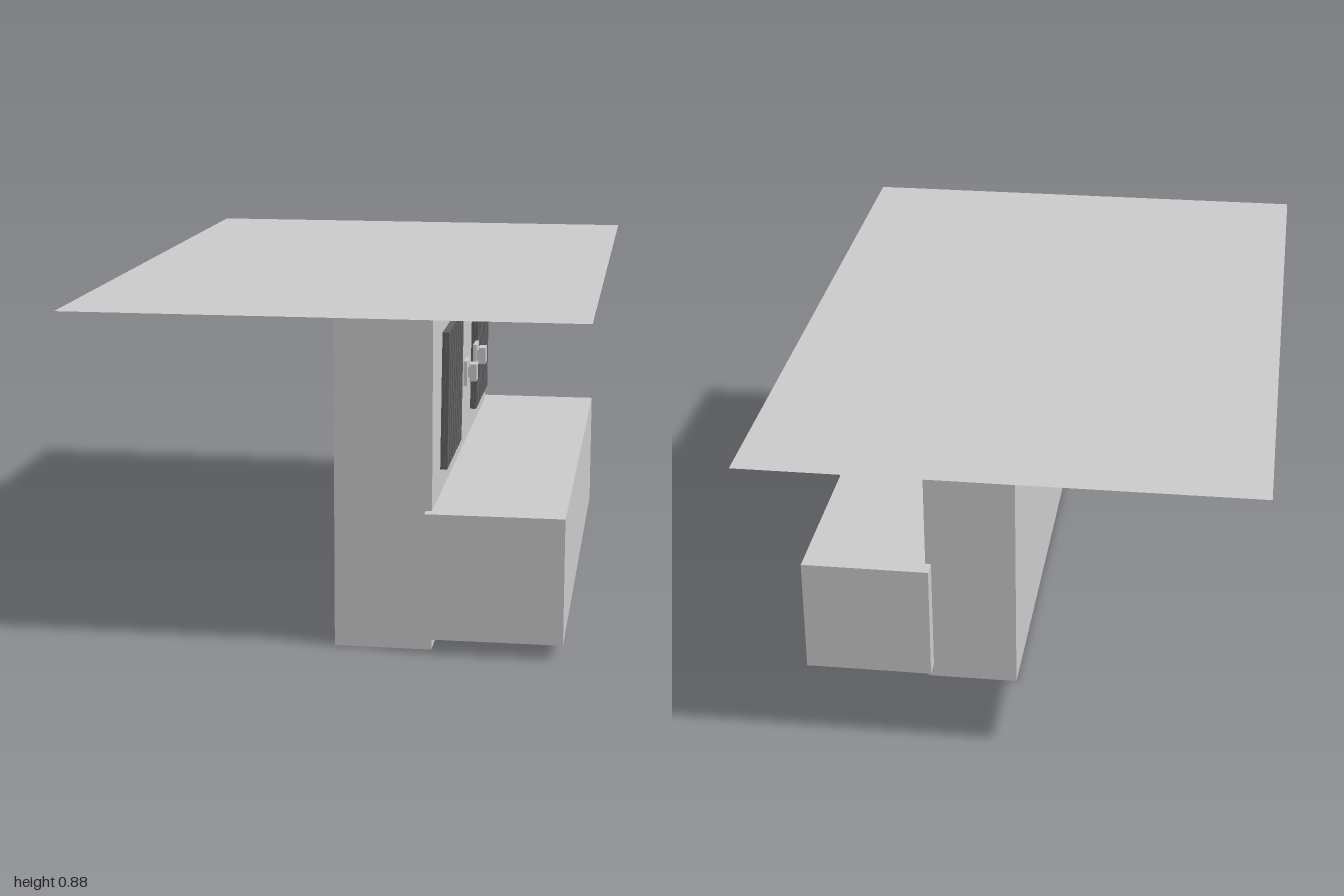
import * as THREE from 'three';

const paleGrey = new THREE.MeshStandardMaterial({ name: 'paleGrey', color: 0xcccccc, side: THREE.DoubleSide });
const darkGrey = new THREE.MeshStandardMaterial({ name: 'darkGrey', color: 0x626262 });

function add(parent, name, geometry, material, x, y, z) {
  const mesh = new THREE.Mesh(geometry, material);
  mesh.name = name;
  mesh.position.set(x, y, z);
  parent.add(mesh);
  return mesh;
}

// Box given by its minimum and maximum corners
function block(parent, name, material, [x0, y0, z0], [x1, y1, z1]) {
  const geometry = new THREE.BoxGeometry(x1 - x0, y1 - y0, z1 - z0);
  return add(parent, name, geometry, material, (x0 + x1) / 2, (y0 + y1) / 2, (z0 + z1) / 2);
}

// Slatted panel leaning very slightly off the wall
function makeGrille(z) {
  const grille = new THREE.Group();
  grille.name = 'slattedPanel';
  const half = 0.181, slats = 8, pitch = (2 * half) / slats;
  block(grille, 'panelBacking', darkGrey, [-0.009, -half, -half], [0.001, half, half]);
  for (const s of [-1, 1]) {
    block(grille, 'panelRail', darkGrey, [0, s * 0.173 - 0.008, -half], [0.006, s * 0.173 + 0.008, half]);
  }
  for (let i = 0; i < slats; i++) {
    const c = -half + (i + 0.5) * pitch;
    block(grille, 'slat', darkGrey, [0, -half, c - 0.017], [0.009, half, c + 0.017]);
  }
  grille.position.set(0.284, 0.623, z);
  grille.rotation.z = -0.01;
  return grille;
}

// Small square wall fitting: plate, stem and raised cap
function makeFitting(z) {
  const fitting = new THREE.Group();
  fitting.name = 'wallFitting';
  block(fitting, 'fittingPlate', paleGrey, [0.291, -0.034, -0.036], [0.301, 0.034, 0.036]);
  block(fitting, 'fittingStem', paleGrey, [0.3, -0.015, -0.015], [0.308, 0.015, 0.015]);
  block(fitting, 'fittingCap', paleGrey, [0.306, -0.024, -0.024], [0.326, 0.024, 0.024]);
  fitting.position.set(0, 0.62, z);
  return fitting;
}

export function createModel() {
  const model = new THREE.Group();
  model.name = 'counterUnderCeiling';

  // Ceiling sheet
  const ceiling = add(model, 'ceiling', new THREE.PlaneGeometry(1.34, 2), paleGrey, 0, 0.88, 0);
  ceiling.rotation.x = -Math.PI / 2;

  // Back wall and counter
  block(model, 'wall', paleGrey, [0.018, 0, -0.553], [0.27, 0.879, 0.882]);
  block(model, 'counter', paleGrey, [0.254, 0.038, -0.601], [0.61, 0.369, 0.915]);

  // Wall panels and fittings
  for (const z of [0.553, -0.216]) model.add(makeGrille(z));
  for (const z of [0.301, 0.038]) model.add(makeFitting(z));

  // Hanging lamp: two cones meeting at their tips
  const lamp = new THREE.Group();
  lamp.name = 'ceilingLamp';
  const mount = add(lamp, 'lampMount', new THREE.ConeGeometry(0.051, 0.032, 32), paleGrey, 0, 0.863, 0);
  mount.rotation.x = Math.PI;
  add(lamp, 'lampShade', new THREE.ConeGeometry(0.061, 0.042, 32), paleGrey, 0, 0.832, 0);
  lamp.position.set(0.538, 0, 0.14);
  model.add(lamp);

  return model;
}
